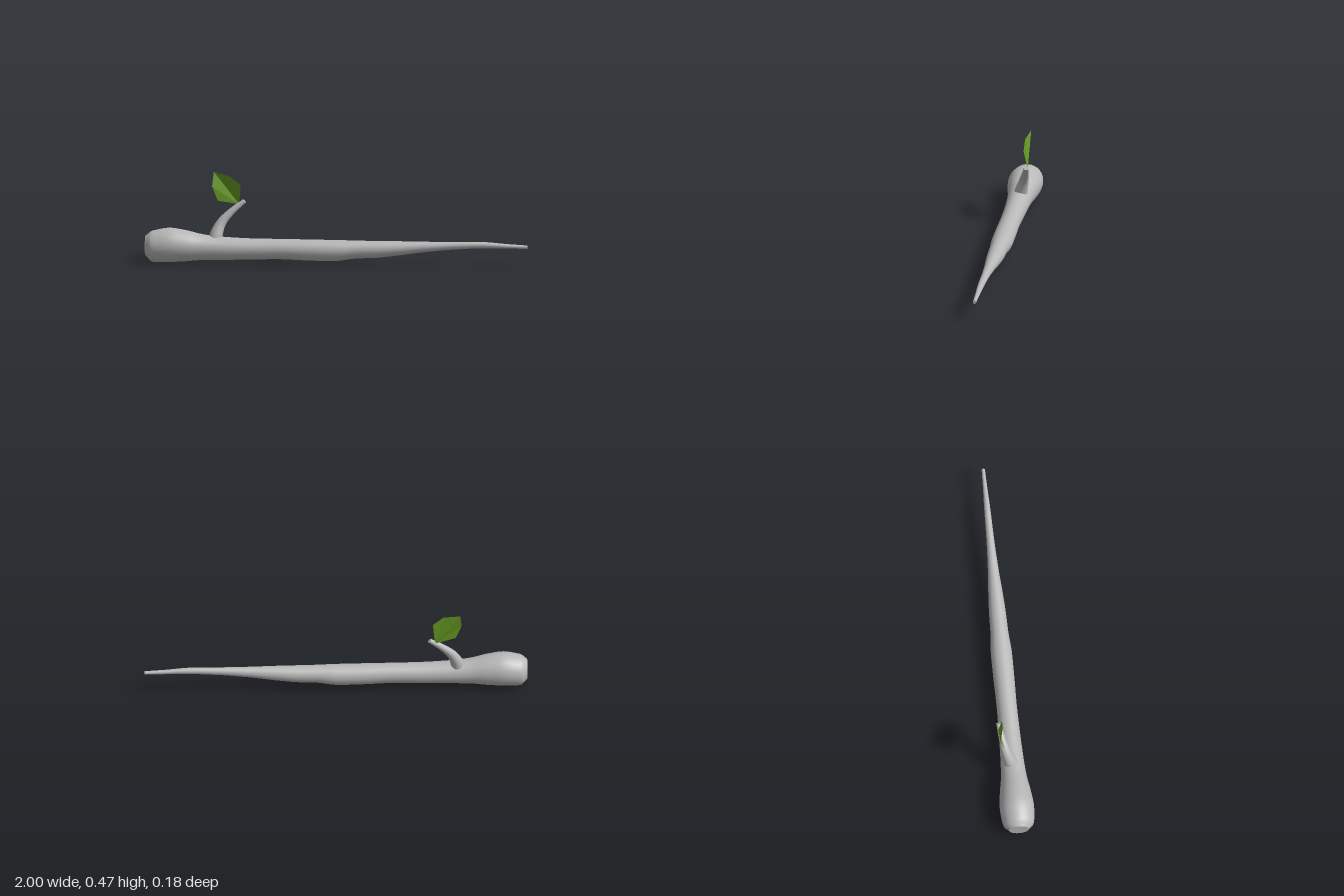
import * as THREE from 'three';

const SIDES = 28;

// Smooth round limb through stations [x, y, z, radius, tilt]; tilt 0 points along +x
function limb(stations, steps) {
  const keys = stations.map(s => new THREE.Vector3(s[0], s[1], s[2]));
  const path = new THREE.CatmullRomCurve3(keys, false, 'centripetal');
  const traits = new THREE.CatmullRomCurve3(
    stations.map(s => new THREE.Vector3(s[3], s[4] || 0, 0)), false, 'catmullrom', 0.4);
  const rings = (stations.length - 1) * steps;
  const pos = [], index = [];
  const ring = (t) => {
    const p = path.getPoint(t), { x: r, y: tilt } = traits.getPoint(t);
    for (let j = 0; j <= SIDES; j++) {
      const a = (j / SIDES) * Math.PI * 2, c = Math.cos(a) * r;
      pos.push(p.x - Math.sin(tilt) * c, p.y + Math.cos(tilt) * c, p.z + Math.sin(a) * r);
    }
    return p;
  };
  const n = SIDES + 1;
  for (let i = 0; i <= rings; i++) ring(i / rings);
  for (let i = 0; i < rings; i++) {
    for (let j = 0; j < SIDES; j++) {
      const a = i * n + j, b = a + n;
      index.push(a, a + 1, b, b, a + 1, b + 1);
    }
  }
  // Flat end caps with their own vertices
  for (const t of [0, 1]) {
    const start = pos.length / 3, p = ring(t), centre = pos.length / 3;
    pos.push(p.x, p.y, p.z);
    for (let j = start; j < start + SIDES; j++) {
      if (t) index.push(centre, j, j + 1);
      else index.push(centre, j + 1, j);
    }
  }
  const geo = new THREE.BufferGeometry();
  geo.setAttribute('position', new THREE.Float32BufferAttribute(pos, 3));
  geo.setIndex(index);
  geo.computeVertexNormals();
  // Match the normals where each ring closes on itself
  const nor = geo.attributes.normal;
  for (let i = 0; i <= rings; i++) {
    const a = i * n, b = a + SIDES;
    const v = new THREE.Vector3().fromBufferAttribute(nor, a)
      .add(new THREE.Vector3().fromBufferAttribute(nor, b)).normalize();
    nor.setXYZ(a, v.x, v.y, v.z);
    nor.setXYZ(b, v.x, v.y, v.z);
  }
  return geo;
}

export function createModel() {
  const wood = new THREE.MeshStandardMaterial({ color: 0xb8b8b8 });
  wood.name = 'greyWood';
  const green = new THREE.MeshStandardMaterial({ color: 0x669922, side: THREE.DoubleSide, flatShading: true });
  green.name = 'leafGreen';
  const model = new THREE.Group();
  model.name = 'stick';
  const add = (name, geo, mat) => {
    const mesh = new THREE.Mesh(geo, mat);
    mesh.name = name;
    model.add(mesh);
  };

  // Main stick: [x, top, bottom] of its outline, from knob to thin tip
  const outline = [
    [-1, 0.142, 0.038], [-0.965, 0.167, 0.005], [-0.88, 0.184, 0.004], [-0.8, 0.175, 0.009],
    [-0.7, 0.153, 0.018], [-0.6, 0.142, 0.021], [-0.45, 0.136, 0.025], [-0.3, 0.136, 0.03],
    [-0.15, 0.136, 0.026], [0, 0.136, 0.026], [0.1, 0.135, 0.041], [0.2, 0.135, 0.046],
    [0.3, 0.136, 0.058], [0.45, 0.136, 0.08], [0.6, 0.138, 0.097], [0.77, 0.141, 0.108],
    [0.9, 0.132, 0.109], [1, 0.127, 0.109],
  ];
  add('shaft', limb(outline.map(([x, t, b]) => [x, (t + b) / 2, 0, (t - b) / 2]), 4), wood);

  // Curved side twig rising toward the back
  add('twig', limb([
    [-0.64, 0.1, -0.006, 0.038, 1.4],
    [-0.631, 0.15, -0.014, 0.034, 1.35],
    [-0.603, 0.215, -0.032, 0.025, 1.1],
    [-0.55, 0.272, -0.047, 0.018, 0.85],
    [-0.487, 0.323, -0.06, 0.012, 0.8],
  ], 5), wood);

  // Leaf: two flat halves folded along the midrib
  const rib = -0.064, edge = -0.044;
  const base = [-0.515, 0.305, rib], tip = [-0.648, 0.475, rib];
  const halves = [
    [base, [-0.505, 0.41, edge], [-0.56, 0.455, edge], tip],
    [base, tip, [-0.655, 0.4, edge], [-0.625, 0.325, edge]],
  ];
  const leaf = new THREE.BufferGeometry();
  const faces = halves.flatMap(([a, b, c, d]) => [a, b, c, a, c, d]).flat();
  leaf.setAttribute('position', new THREE.Float32BufferAttribute(faces, 3));
  leaf.computeVertexNormals();
  add('leaf', leaf, green);

  return model;
}
